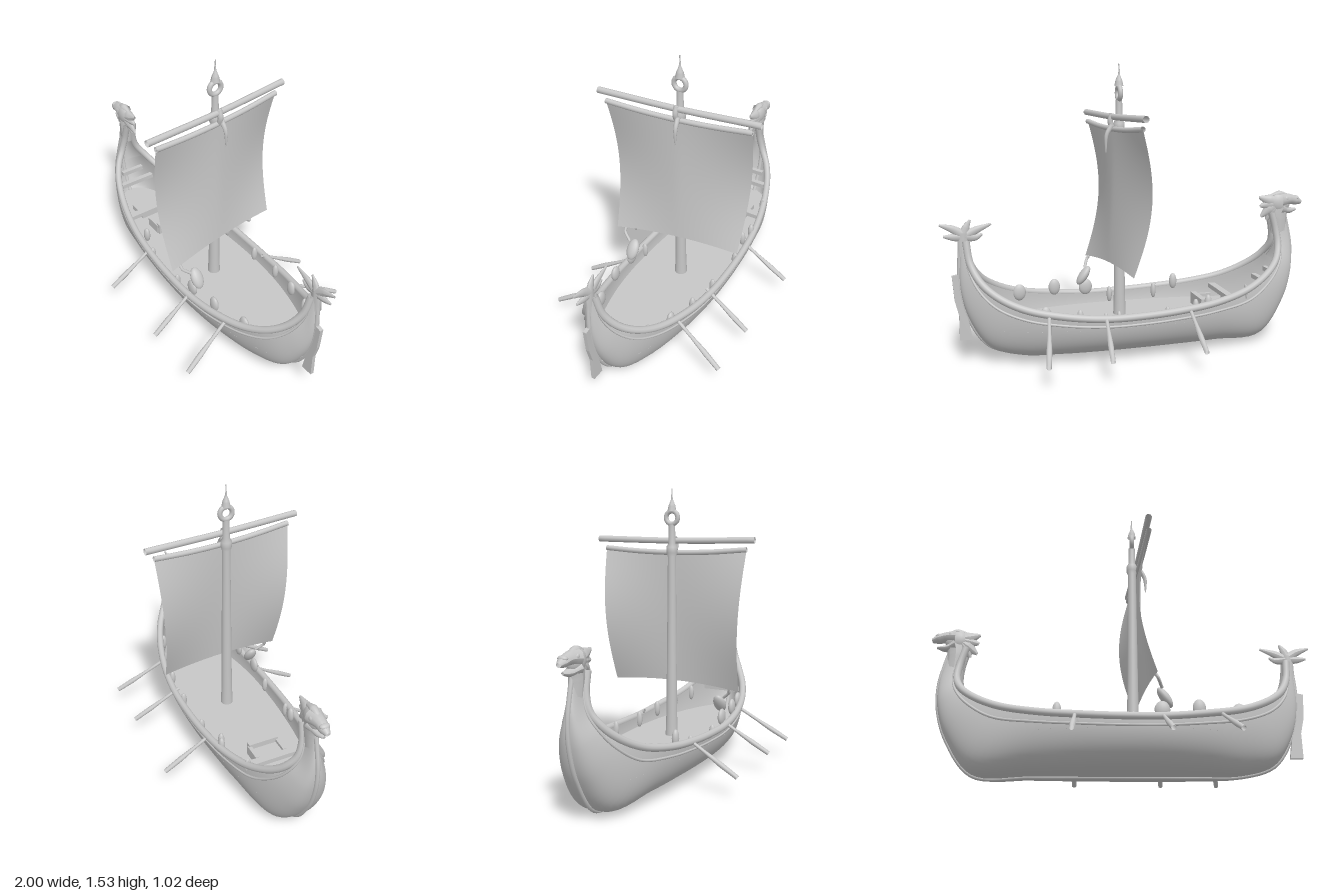
import * as THREE from 'three';

const V = (x, y, z = 0) => new THREE.Vector3(x, y, z);
const curve = (pts) => new THREE.CatmullRomCurve3(pts.map((p) => V(...p)));
const DECK = 0.183;

// Gunwale (x, y, half width) and matching keel line (x, y), bow to stern
const gunwale = curve([
  [-0.81, 0.7, 0.022], [-0.835, 0.6, 0.028], [-0.84, 0.52, 0.05], [-0.81, 0.45, 0.095],
  [-0.74, 0.385, 0.14], [-0.6, 0.315, 0.19], [-0.4, 0.27, 0.235], [-0.2, 0.25, 0.258],
  [0, 0.24, 0.267], [0.2, 0.24, 0.265], [0.4, 0.26, 0.245], [0.6, 0.3, 0.2],
  [0.73, 0.36, 0.15], [0.81, 0.43, 0.095], [0.855, 0.52, 0.045], [0.87, 0.63, 0.018],
]);
const keel = curve([
  [-0.895, 0.7], [-0.92, 0.6], [-0.938, 0.5], [-0.932, 0.37], [-0.875, 0.2], [-0.73, 0.018],
  [-0.45, 0.012], [-0.2, 0.012], [0, 0.012], [0.2, 0.012], [0.4, 0.012], [0.6, 0.017],
  [0.765, 0.07], [0.86, 0.21], [0.904, 0.38], [0.897, 0.63],
]);

// Hull skin: u runs bow to stern, angle from keel (0) to gunwale (PI/2)
function hullPoint(u, angle, side) {
  const g = gunwale.getPoint(u), k = keel.getPoint(u), t = 1 - Math.cos(angle);
  return V(k.x + (g.x - k.x) * t, k.y + (g.y - k.y) * t,
    side * g.z * Math.pow(Math.max(0, Math.sin(angle)), 0.66));
}

// Angle at which the hull skin meets the deck
function deckAngle(u) {
  const g = gunwale.getPoint(u), k = keel.getPoint(u);
  return Math.acos(THREE.MathUtils.clamp(1 - (DECK - k.y) / (g.y - k.y), 0, 1));
}

// Surface from a grid of points; f takes u and v from 0 to 1
function grid(nu, nv, f) {
  const pos = [], idx = [];
  for (let i = 0; i <= nu; i++) {
    for (let j = 0; j <= nv; j++) {
      pos.push(...f(i / nu, j / nv).toArray());
      if (i < nu && j < nv) {
        const a = i * (nv + 1) + j, b = a + nv + 1;
        idx.push(a, b, a + 1, b, b + 1, a + 1);
      }
    }
  }
  const geo = new THREE.BufferGeometry();
  geo.setAttribute('position', new THREE.Float32BufferAttribute(pos, 3));
  geo.setIndex(idx);
  geo.computeVertexNormals();
  return geo;
}

// Tube whose radius follows a list of values; zScale flattens it about z = 0
function taper(pts, radii, zScale = 1, seg = 24) {
  const path = curve(pts), geo = new THREE.TubeGeometry(path, seg, 1, 10), p = geo.attributes.position;
  for (let i = 0; i < p.count; i++) {
    const t = Math.floor(i / 11) / seg, c = path.getPointAt(t), s = t * (radii.length - 1);
    const k = Math.min(Math.floor(s), radii.length - 2);
    const r = radii[k] + (radii[k + 1] - radii[k]) * (s - k);
    const q = V(p.getX(i), p.getY(i), p.getZ(i)).sub(c).multiplyScalar(r).add(c);
    p.setXYZ(i, q.x, q.y, q.z);
  }
  geo.scale(1, 1, zScale);
  geo.computeVertexNormals();
  return geo;
}

export function createModel() {
  const model = new THREE.Group();
  const grey = new THREE.MeshStandardMaterial({ color: 0xc6c6c6, side: THREE.DoubleSide });
  grey.name = 'plain grey';
  const add = (name, geo, x = 0, y = 0, z = 0) => {
    const m = new THREE.Mesh(geo, grey);
    m.name = name;
    m.position.set(x, y, z);
    model.add(m);
    return m;
  };
  const box = (name, w, h, d, x, y, z = 0) => add(name, new THREE.BoxGeometry(w, h, d), x, y, z);
  const ball = (name, x, y, z, rx, ry, rz) => {
    const m = add(name, new THREE.SphereGeometry(1, 16, 12), x, y, z);
    m.scale.set(rx, ry, rz);
    return m;
  };

  // Hull, keel, inner lining and rails
  add('hull', grid(100, 36, (u, v) => {
    const s = v * 2 - 1;
    return hullPoint(u, Math.abs(s) * Math.PI / 2, Math.sign(s));
  }));
  add('keel', new THREE.TubeGeometry(keel, 100, 0.012, 8));
  for (const side of [-1, 1]) {
    const rail = [], strake = [];
    for (let i = 0; i <= 50; i++) {
      rail.push(hullPoint(i / 50, Math.PI / 2, side).toArray());
      strake.push(hullPoint(i / 50, 1.38, side).toArray());
    }
    add('gunwaleRail', new THREE.TubeGeometry(curve(rail), 120, 0.019, 10));
    add('strake', new THREE.TubeGeometry(curve(strake), 120, 0.007, 6));
    add('lining', grid(60, 6, (t, v) => {
      const u = 0.2 + t * 0.7;
      const p = hullPoint(u, THREE.MathUtils.lerp(deckAngle(u), Math.PI / 2, v), side);
      p.z = side * Math.max(0, Math.abs(p.z) - 0.018);
      return p;
    }));
  }

  // Deck, cut to the inside of the hull
  add('deck', grid(60, 2, (t, v) => {
    const u = 0.26 + t * 0.6, p = hullPoint(u, deckAngle(u), 1);
    return V(p.x, DECK, p.z * (1 - 2 * v));
  }));

  // Benches and chest
  for (const [x, y, half, w] of [[-0.54, 0.25, 0.19, 0.04], [-0.77, 0.31, 0.11, 0.03],
    [-0.82, 0.36, 0.07, 0.025], [0.76, 0.31, 0.11, 0.03], [0.8, 0.34, 0.08, 0.025]])
    box('bench', w, 0.025, half * 2, x, y);
  box('platform', 0.12, 0.03, 0.18, -0.62, DECK + 0.012);
  box('chest', 0.1, 0.04, 0.18, -0.44, DECK + 0.015);
  box('chestBack', 0.03, 0.07, 0.17, -0.39, DECK + 0.03);
  for (const z of [-0.08, 0.08]) box('chestSide', 0.1, 0.055, 0.02, -0.44, DECK + 0.025, z);

  // Dragon figurehead
  add('dragonNeck', taper([[-0.865, 0.58], [-0.862, 0.68], [-0.875, 0.75]], [0.045, 0.05, 0.05], 0.65));
  ball('dragonSkull', -0.865, 0.75, 0, 0.065, 0.06, 0.036);
  add('upperJaw', taper([[-0.87, 0.765], [-0.93, 0.768], [-0.975, 0.757], [-0.998, 0.75]],
    [0.045, 0.036, 0.029, 0.026, 0.012], 1.05));
  add('lowerJaw', taper([[-0.87, 0.72], [-0.92, 0.706], [-0.968, 0.71]], [0.035, 0.022, 0.016, 0.006], 1.3));
  ball('nostril', -0.965, 0.775, 0, 0.018, 0.014, 0.026);
  for (const z of [-0.03, 0.03]) ball('dragonEye', -0.895, 0.775, z, 0.014, 0.014, 0.009);
  for (const [x, y] of [[-0.745, 0.785], [-0.75, 0.735], [-0.755, 0.675], [-0.79, 0.655]])
    add('mane', taper([[-0.86, 0.75], [(x - 0.83) / 2, y * 0.6 + 0.3], [x, y]], [0.045, 0.034, 0.008], 0.7));
  add('crest', taper([[-0.92, 0.785], [-0.87, 0.8], [-0.81, 0.79]], [0.01, 0.018, 0.008], 1.2));

  // Forked tail and stern blade
  add('tailPost', taper([[0.88, 0.55], [0.882, 0.62], [0.88, 0.67]], [0.032, 0.03, 0.028], 0.6));
  for (const pts of [[[0.88, 0.65], [0.82, 0.68], [0.74, 0.71]], [[0.87, 0.65], [0.82, 0.645], [0.785, 0.66]],
    [[0.88, 0.66], [0.865, 0.7], [0.845, 0.735]], [[0.885, 0.66], [0.93, 0.69], [0.998, 0.715]],
    [[0.885, 0.65], [0.93, 0.65], [0.98, 0.655]]])
    add('tailProng', taper(pts, [0.026, 0.019, 0.006], 0.6));
  const blade = new THREE.Shape([[0.9, 0.46], [0.945, 0.45], [0.935, 0.32], [0.915, 0.24], [0.915, 0.11],
    [0.85, 0.11], [0.865, 0.2], [0.89, 0.3]].map((p) => new THREE.Vector2(...p)));
  add('sternBlade', new THREE.ExtrudeGeometry(blade, { depth: 0.02, bevelEnabled: false }), 0, 0, -0.01);

  // Mast with ring and spike
  const lathe = [[0.034, DECK], [0.03, 0.3], [0.026, 0.7], [0.022, 1.16], [0.03, 1.18], [0.03, 1.21],
    [0.019, 1.23], [0.017, 1.33]].map((p) => new THREE.Vector2(...p));
  add('mast', new THREE.LatheGeometry(lathe, 20), 0.065);
  add('mastRing', new THREE.TorusGeometry(0.034, 0.013, 10, 28), 0.065, 1.365).rotation.y = Math.PI / 2;
  add('mastSpike', taper([[0.065, 1.4], [0.065, 1.45], [0.063, 1.48], [0.066, 1.515]],
    [0.024, 0.018, 0.006, 0.003, 0.003]));

  // Yard and sail, pressed against the after side of the mast and bellied at both wings
  add('yard', taper([[0.05, 1.25, -0.44], [0.098, 1.243, 0], [0.14, 1.25, 0.44]], [0.017, 0.016, 0.017]));
  const sail = (s, v) => V(
    0.097 + 0.045 * s - 0.062 * Math.pow(Math.abs(s), 1.4) * Math.sin(Math.PI * v) + 0.033 * v * v,
    THREE.MathUtils.lerp(1.18 + 0.02 * s * s, 0.475 - 0.025 * s * s - 0.015 * s, v),
    s * (0.395 - 0.045 * v) - 0.005 * v);
  add('sail', grid(30, 30, (u, v) => sail(u * 2 - 1, v)));
  add('sailHead', taper([-1, -0.5, 0, 0.5, 1].map((s) => sail(s, 0).toArray()), [0.014, 0.014]));
  add('sailCorner', taper([sail(0.85, 1).toArray(), [0.18, 0.425, 0.29], [0.2, 0.39, 0.25]], [0.008, 0.008, 0.008]));
  add('yardTie', taper([[0.1, 1.26, 0], [0.112, 1.22, 0], [0.1, 1.18, 0]], [0.014, 0.014]));
  add('rope', taper([[0.105, 1.2, -0.01], [0.135, 1.15, -0.015], [0.14, 1.06, -0.015]], [0.014, 0.01, 0.003]));

  // Oars, three to a side
  for (const side of [-1, 1])
    for (const [x0, x1] of [[-0.22, -0.22], [0.2, 0.23], [0.49, 0.54]]) {
      const dx = side < 0 && x0 < 0 ? -0.03 : 0;
      add('oar', taper([[x0 + dx, 0.26, side * 0.24], [(x0 + x1) / 2 + dx, 0.175, side * 0.38],
        [x1 + dx, 0.1, side * 0.505]], [0.009, 0.009, 0.014, 0.012]));
    }

  // Shields and gear along the gunwales: x, top height, z, half width
  for (const [x, top, z, r] of [[-0.31, 0.33, 0.21, 0.022], [-0.2, 0.275, 0.24, 0.015], [0.06, 0.27, 0.245, 0.015],
    [0.2, 0.325, 0.24, 0.038], [0.38, 0.34, 0.225, 0.032], [0.58, 0.335, 0.18, 0.035],
    [-0.36, 0.315, -0.225, 0.02], [-0.3, 0.29, -0.2, 0.017], [-0.13, 0.275, -0.24, 0.015],
    [0.13, 0.27, -0.24, 0.015], [0.33, 0.29, -0.23, 0.018], [0.5, 0.31, -0.2, 0.028],
    [0.65, 0.33, -0.16, 0.015], [-0.59, 0.345, -0.185, 0.009]])
    ball('gunwaleGear', x, top - 0.045, z, r, 0.045, 0.018);
  ball('leaningBundle', 0.215, 0.35, 0.22, 0.024, 0.06, 0.035).rotation.z = 0.6;
  return model;
}
